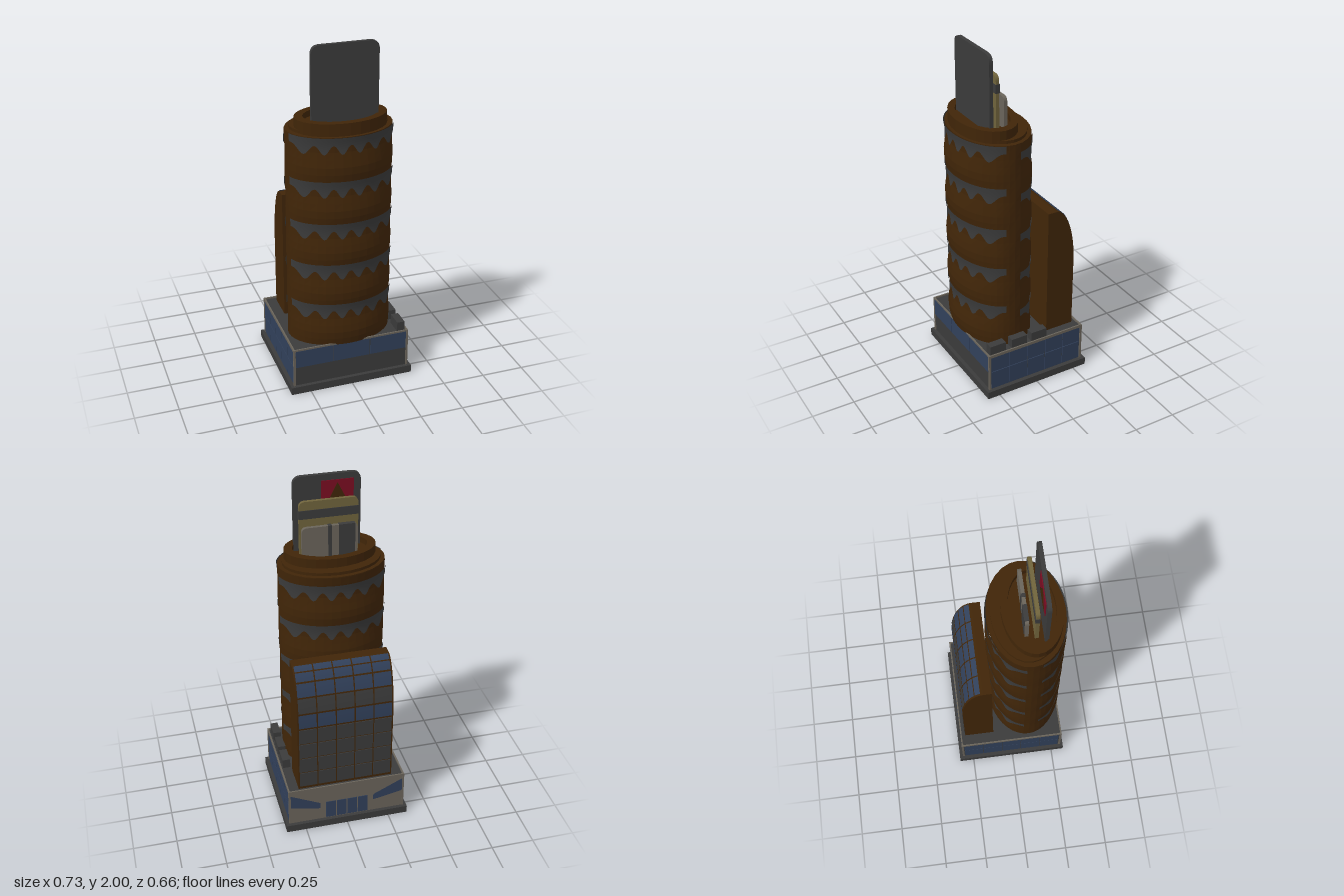
import * as THREE from 'three';

const mat = (name, color, extra = {}) => Object.assign(new THREE.MeshStandardMaterial({ color, ...extra }), { name });

export function createModel() {
  const D = { side: THREE.DoubleSide };
  const brown = mat('brown cladding', 0x402508, { flatShading: true });
  const grey = mat('charcoal', 0x3b3b3b, D);
  const blue = mat('blue glass', 0x31405a, D);
  const stone = mat('pale stone', 0x6a645a, D);
  const gold = mat('dull gold', 0x70643c);
  const red = mat('red', 0x7a0d22, D);

  const root = new THREE.Group();
  const add = (name, geo, m, parent = root) => {
    const mesh = new THREE.Mesh(geo, m);
    mesh.name = name;
    parent.add(mesh);
    return mesh;
  };
  const group = (name) => {
    const g = new THREE.Group();
    g.name = name;
    root.add(g);
    return g;
  };
  // box given by its limits
  const box = (name, x0, x1, y0, y1, z0, z1, m, parent) => {
    const g = new THREE.BoxGeometry(x1 - x0, y1 - y0, z1 - z0);
    g.translate((x0 + x1) / 2, (y0 + y1) / 2, (z0 + z1) / 2);
    return add(name, g, m, parent);
  };
  // grid surface from f(u, v) -> [x, y, z]
  const surface = (nu, nv, f) => {
    const pos = [], idx = [];
    for (let j = 0; j <= nv; j++)
      for (let i = 0; i <= nu; i++) pos.push(...f(i / nu, j / nv));
    for (let j = 0; j < nv; j++)
      for (let i = 0; i < nu; i++) {
        const a = j * (nu + 1) + i, b = a + nu + 1;
        idx.push(a, a + 1, b + 1, a, b + 1, b);
      }
    const g = new THREE.BufferGeometry();
    g.setAttribute('position', new THREE.Float32BufferAttribute(pos, 3));
    g.setIndex(idx);
    g.computeVertexNormals();
    return g;
  };

  // ---- podium ----
  const podium = group('podium');
  box('baseSlab', -0.365, 0.365, 0, 0.045, -0.335, 0.325, grey, podium);
  box('podiumCore', -0.34, 0.34, 0.045, 0.272, -0.31, 0.303, grey, podium);
  for (const s of [-1, 1]) {
    box('parapetSide', s * 0.342 - 0.004, s * 0.342 + 0.004, 0.265, 0.282, -0.315, 0.308, stone, podium);
    for (const z of [-0.31, 0.303])
      box('cornerPost', s * 0.341 - 0.006, s * 0.341 + 0.006, 0.045, 0.28, z - 0.006, z + 0.006, stone, podium);
    // side glazing, two rows of five
    for (let i = 0; i < 5; i++) {
      const z = -0.3 + i * 0.119;
      for (const [y0, y1] of [[0.05, 0.164], [0.168, 0.265]])
        box('sideWindow', s * 0.342 - 0.003, s * 0.342 + 0.003, y0, y1, z, z + 0.115, blue, podium);
    }
  }
  for (const z of [-0.311, 0.304])
    box('parapet', -0.345, 0.345, 0.268, 0.282, z - 0.004, z + 0.004, stone, podium);
  // front windows over a plain ground floor
  for (let i = 0; i < 3; i++)
    box('frontWindow', -0.333 + i * 0.224, -0.115 + i * 0.224, 0.165, 0.272, 0.301, 0.309, blue, podium);
  // stone rear wall with doors and wedge windows
  box('rearWall', -0.338, 0.338, 0.045, 0.275, -0.314, -0.309, stone, podium);
  for (let i = 0; i < 4; i++)
    box('rearDoor', -0.125 + i * 0.064, -0.067 + i * 0.064, 0.05, 0.165, -0.317, -0.313, blue, podium);
  for (const s of [-1, 1]) {
    const w = new THREE.Shape([[0.335, 0.25], [0.335, 0.16], [0.16, 0.125], [0.16, 0.165]]
      .map(([x, y]) => new THREE.Vector2(s * x, y)));
    add('wedgeWindow', new THREE.ShapeGeometry(w), blue, podium).position.z = -0.316;
  }
  // roof plant boxes
  for (const z of [-0.08, 0.05, 0.19])
    box('roofUnit', 0.285, 0.33, 0.27, 0.33, z, z + 0.1, grey, podium);

  // ---- oval tower ----
  const tower = group('tower');
  const CX = -0.012, CZ = 0.107, RX = 0.3, RZ = 0.212, FLOOR = 0.248;
  const wall = (a, y, off = 0) => {
    const shift = Math.cos(a) > 0 ? 0 : 0.05;
    const bulge = 0.008 * Math.sin(((y + shift - 0.29) / FLOOR) * Math.PI * 2) * Math.abs(Math.cos(a));
    return [CX + (RX + off + bulge) * Math.sin(a), y, CZ + (RZ + off + bulge) * Math.cos(a)];
  };
  add('towerWall', surface(40, 30, (u, v) => wall(u * Math.PI * 2, 0.272 + v * 1.258)), brown, tower);
  // scalloped bands, front and rear halves at different heights
  for (let i = 0; i < 5; i++)
    for (const [mid, half, top] of [[0, 1.33, 1.53], [Math.PI, 1.42, 1.482]]) {
      const y = top - i * FLOOR;
      add('scallopBand', surface(96, 4, (u, v) => {
        const a = mid + (u * 2 - 1) * half;
        const tooth = 0.5 - 0.5 * Math.cos((Math.sin(a) * RX / 0.096) * Math.PI * 2);
        return wall(a, y - (1 - v) * (0.045 + 0.05 * tooth), 0.005);
      }), grey, tower);
    }
  // roof tiers
  const oval = (rx, rz) => new THREE.Shape().absellipse(0, 0, rx, rz, 0, Math.PI * 2);
  const tier = (name, rx, rz, cz, y0, y1, hole) => {
    const s = oval(rx, rz);
    if (hole) s.holes.push(new THREE.Path().absellipse(0, 0, hole[0], hole[1], 0, Math.PI * 2, true));
    const g = new THREE.ExtrudeGeometry(s, { depth: y1 - y0, bevelEnabled: false, curveSegments: 14 });
    g.rotateX(-Math.PI / 2);
    g.translate(CX, y0, cz);
    add(name, g, brown, tower);
  };
  tier('towerRoof', 0.3, 0.21, CZ, 1.5, 1.53);
  tier('lowerTier', 0.275, 0.182, 0.102, 1.52, 1.547);
  tier('upperRim', 0.257, 0.163, 0.137, 1.52, 1.6, [0.21, 0.125]);
  tier('roofWell', 0.215, 0.13, 0.137, 1.52, 1.565);

  // ---- three upright roof fins ----
  const fins = group('roofFins');
  const fin = (name, x0, x1, top, r, z0, z1, m) => {
    const s = new THREE.Shape();
    s.moveTo(x0, 1.55);
    s.lineTo(x1, 1.55);
    s.lineTo(x1, top - r);
    s.quadraticCurveTo(x1, top, x1 - r, top);
    s.lineTo(x0 + r, top);
    s.quadraticCurveTo(x0, top, x0, top - r);
    const g = new THREE.ExtrudeGeometry(s, { depth: z1 - z0, bevelEnabled: false, curveSegments: 8 });
    g.translate(0, 0, z0);
    add(name, g, m, fins);
  };
  fin('tallFin', -0.195, 0.18, 2, 0.05, 0.178, 0.2, grey);
  fin('middleFin', -0.17, 0.158, 1.875, 0.035, 0.13, 0.15, gold);
  fin('shortFin', -0.155, 0.155, 1.745, 0.03, 0.08, 0.1, stone);
  box('middleFinStripe', -0.172, 0.16, 1.775, 1.825, 0.127, 0.152, grey, fins);
  box('shortFinPanel', -0.14, -0.05, 1.55, 1.747, 0.077, 0.102, grey, fins);
  box('shortFinStripe', -0.01, 0.01, 1.55, 1.747, 0.077, 0.102, grey, fins);
  // plain red panel with a brown wedge
  box('redPanel', -0.155, 0.025, 1.82, 1.965, 0.174, 0.178, red, fins);
  const wedge = new THREE.Shape([[0.0, 1.82], [-0.13, 1.82], [-0.065, 1.95]].map((p) => new THREE.Vector2(...p)));
  const wedgeGeo = new THREE.ExtrudeGeometry(wedge, { depth: 0.003, bevelEnabled: false });
  wedgeGeo.translate(0, 0, 0.172);
  add('brownWedge', wedgeGeo, brown, fins);

  // ---- curved rear block ----
  const rear = group('rearBlock');
  const curve = (t, off = 0) => [0.16 + (0.125 + off) * Math.sin(t), 0.7 + (0.35 + off) * Math.cos(t)];
  const side = new THREE.Shape();
  side.moveTo(0.11, 0.272);
  side.lineTo(0.285, 0.272);
  for (let i = 16; i >= 0; i--) side.lineTo(...curve((i / 16) * Math.PI / 2));
  side.lineTo(0.11, 1.05);
  const block = new THREE.ExtrudeGeometry(side, { depth: 0.555, bevelEnabled: false });
  block.rotateY(Math.PI / 2);
  block.translate(-0.275, 0, 0);
  add('rearBlockBody', block, brown, rear);
  // glazing: curved rows, then straight rows down to the podium
  const rows = [[0.12, 0.36, blue], [0.4, 0.64, blue], [0.68, 0.97, blue], [1.0, 1.28, grey], [1.31, 1.56, blue]];
  for (let c = 0; c < 5; c++) {
    const x = 0.272 - c * 0.109;
    for (const [t0, t1, m] of rows)
      add('curvedPane', surface(1, 4, (u, v) => {
        const [s, y] = curve(t1 + (t0 - t1) * v, 0.004);
        return [x - u * 0.102, y, -s];
      }), m, rear);
    for (let r = 0; r < 4; r++)
      box('straightPane', x - 0.102, x, 0.29 + r * 0.102, 0.385 + r * 0.102, -0.289, -0.284, grey, rear);
  }
  return root;
}
